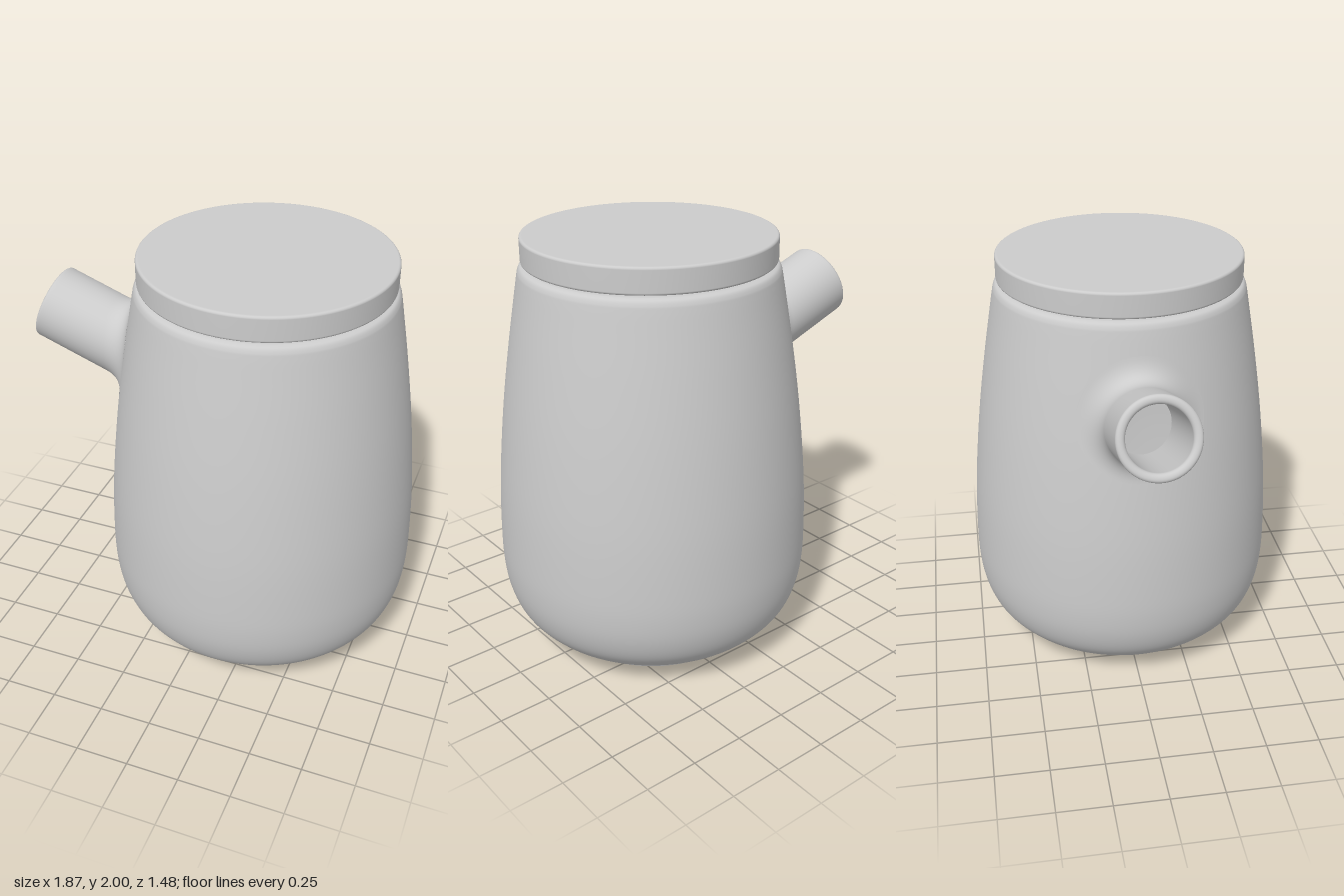
import * as THREE from 'three';

const material = new THREE.MeshStandardMaterial({ color: 0xcccccc, side: THREE.DoubleSide });
const CENTER_X = 0.2;
const v2 = (x, y) => new THREE.Vector2(x, y);

// Body side profile (radius, height), from foot to rim
const wall = new THREE.SplineCurve([
  [0.455, 0], [0.464, 0.02], [0.478, 0.05], [0.51, 0.065], [0.56, 0.085], [0.625, 0.135], [0.685, 0.21],
  [0.722, 0.31], [0.738, 0.43], [0.739, 0.58], [0.73, 0.8], [0.71, 1.03], [0.682, 1.27],
  [0.645, 1.52], [0.608, 1.74], [0.594, 1.82], [0.588, 1.845], [0.577, 1.863], [0.558, 1.871],
].map(([r, y]) => v2(r, y))).getPoints(108);

function bodyRadius(y) {
  let i = 1;
  while (i < wall.length - 1 && wall[i].y < y) i++;
  const a = wall[i - 1], b = wall[i];
  return a.x + (b.x - a.x) * (y - a.y) / (b.y - a.y);
}

// Spout frame: t is the distance from the tip back along the axis
const TIP = new THREE.Vector3(-0.878, 1.578, 0);
const TILT = THREE.MathUtils.degToRad(20);
const AXIS = new THREE.Vector3(Math.cos(TILT), -Math.sin(TILT), 0);
const UP = new THREE.Vector3(Math.sin(TILT), Math.cos(TILT), 0);
const R_OUT = 0.179, R_IN = 0.138;

const spoutPoint = (r, angle, t) => TIP.clone()
  .addScaledVector(AXIS, t)
  .addScaledVector(UP, r * Math.cos(angle))
  .add(new THREE.Vector3(0, 0, r * Math.sin(angle)));

// Distance along the spout at which a line parallel to its axis meets the body
function meetBody(r, angle) {
  let lo = 0, hi = 0.9;
  for (let i = 0; i < 30; i++) {
    const mid = (lo + hi) / 2, p = spoutPoint(r, angle, mid);
    if (Math.hypot(p.x - CENTER_X, p.z) > bodyRadius(p.y)) lo = mid; else hi = mid;
  }
  return lo;
}

// Lathed wall with the spout opening cut through it
function bodyGeometry() {
  const geometry = new THREE.LatheGeometry([...wall, v2(0.54, 1.872), v2(0.5, 1.872)], 160);
  geometry.translate(CENTER_X, 0, 0);
  const pos = geometry.attributes.position, index = geometry.index.array, kept = [];
  const c = new THREE.Vector3(), p = new THREE.Vector3();
  for (let i = 0; i < index.length; i += 3) {
    c.set(0, 0, 0);
    for (let k = 0; k < 3; k++) c.addScaledVector(p.fromBufferAttribute(pos, index[i + k]), 1 / 3);
    const d = c.clone().sub(TIP), t = d.dot(AXIS);
    const inBore = t < 0.75 && d.addScaledVector(AXIS, -t).length() < 0.185;
    if (!inBore) kept.push(index[i], index[i + 1], index[i + 2]);
  }
  geometry.setIndex(kept);
  return geometry;
}

// One side line of the spout: bore, rounded lip, outer wall, fillet into the body
function spoutLine(angle) {
  const line = [];
  const add = (r, t) => line.push(spoutPoint(r, angle, t));
  add(R_IN, meetBody(R_IN, angle) + 0.03);
  add(R_IN, 0.15);
  add(R_IN, 0.03);
  for (let i = 0; i <= 5; i++) {
    const a = i / 5 * Math.PI / 2;
    add(R_IN + 0.02 * (1 - Math.cos(a)), 0.02 * (1 - Math.sin(a)));
  }
  for (let i = 0; i <= 5; i++) {
    const a = i / 5 * Math.PI / 2;
    add(R_OUT - 0.016 * (1 - Math.sin(a)), 0.016 * (1 - Math.cos(a)));
  }
  add(R_OUT, 0.03);
  add(R_OUT, 0.15);
  const f = 0.108 + 0.016 * Math.cos(angle);
  const corner = meetBody(R_OUT, angle);
  const fillet = new THREE.QuadraticBezierCurve3(
    spoutPoint(R_OUT, angle, corner - f),
    spoutPoint(R_OUT, angle, corner),
    spoutPoint(R_OUT + f, angle, meetBody(R_OUT + f, angle) - 0.001));
  line.push(...fillet.getPoints(14));
  return line;
}

function spoutGeometry(sides = 72) {
  const positions = [], indices = [];
  let rings = 0;
  for (let j = 0; j < sides; j++) {
    const line = spoutLine(j / sides * Math.PI * 2);
    rings = line.length;
    for (const p of line) positions.push(p.x, p.y, p.z);
  }
  for (let j = 0; j < sides; j++) {
    const next = (j + 1) % sides;
    for (let i = 0; i < rings - 1; i++) {
      const a = j * rings + i, b = next * rings + i;
      indices.push(a, b, a + 1, b, b + 1, a + 1);
    }
  }
  const geometry = new THREE.BufferGeometry();
  geometry.setAttribute('position', new THREE.Float32BufferAttribute(positions, 3));
  geometry.setIndex(indices);
  geometry.computeVertexNormals();
  return geometry;
}

// Flat disc with softly rounded edges
function lidGeometry(r, bottom, top, bevel) {
  const points = [v2(0, bottom), v2(r - bevel - 0.005, bottom)];
  for (const [y, start] of [[bottom + bevel, -Math.PI / 2], [top - bevel, 0]]) {
    for (let i = 0; i <= 6; i++) {
      const a = start + i / 6 * Math.PI / 2;
      points.push(v2(r - bevel + bevel * Math.cos(a), y + bevel * Math.sin(a)));
    }
  }
  points.push(v2(r - bevel - 0.005, top), v2(0, top));
  return new THREE.LatheGeometry(points, 128);
}

export function createModel() {
  const model = new THREE.Group();
  model.name = 'spoutedJar';
  const part = (name, geometry, x = 0, y = 0) => {
    const mesh = new THREE.Mesh(geometry, material);
    mesh.name = name;
    mesh.position.set(x, y, 0);
    model.add(mesh);
  };

  part('body', bodyGeometry());
  part('base', new THREE.CircleGeometry(0.455, 160).rotateX(Math.PI / 2), CENTER_X, 0);
  part('spout', spoutGeometry());
  part('lidPlug', new THREE.CylinderGeometry(0.507, 0.507, 0.06, 128), CENTER_X, 1.86);
  part('lid', lidGeometry(0.574, 1.881, 2, 0.012), CENTER_X);
  return model;
}
